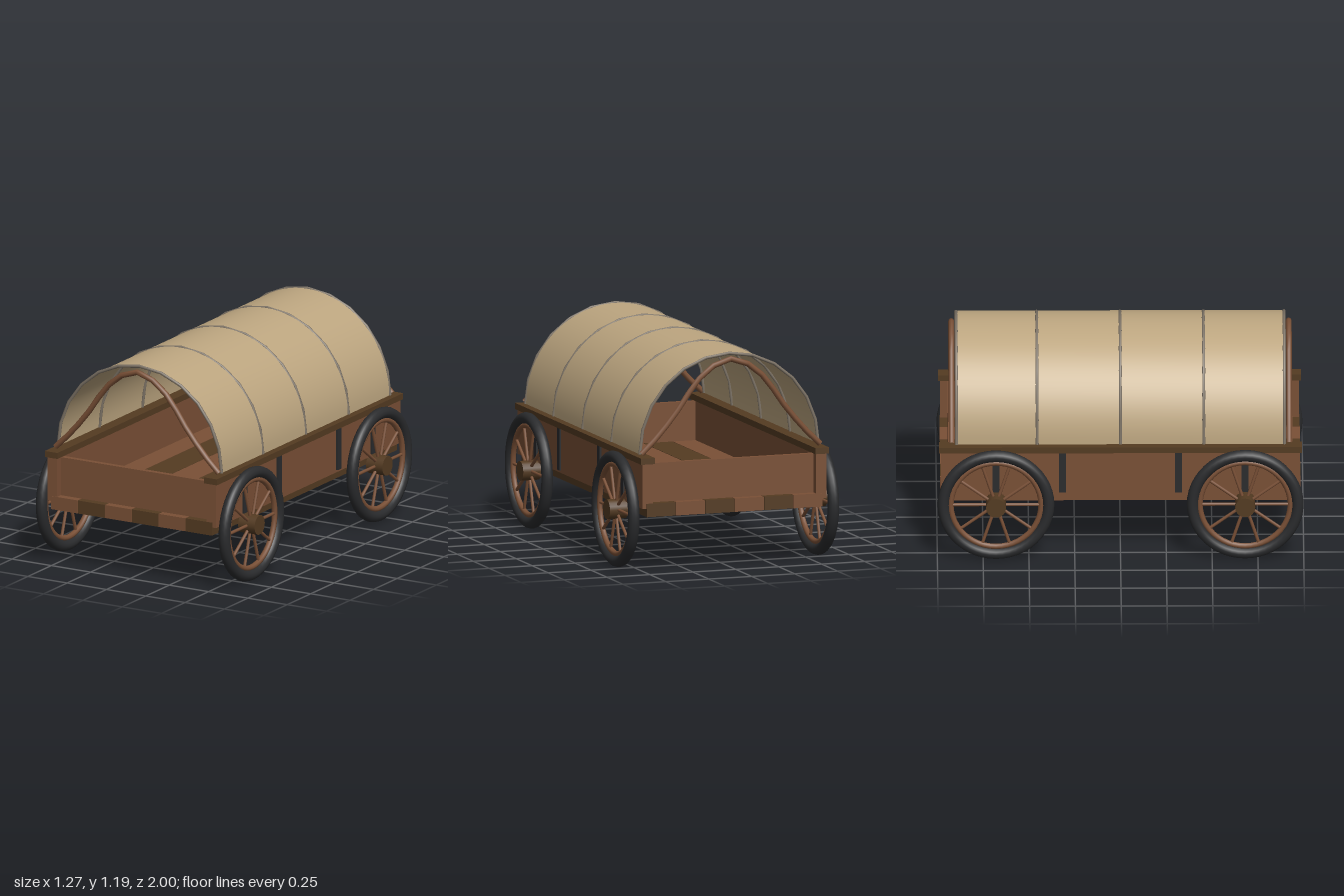
import * as THREE from 'three';

const mat = (name, color) => {
  const m = new THREE.MeshStandardMaterial({ color });
  m.name = name;
  return m;
};

export function createModel() {
  const wood = mat('wood', 0x7a5036);
  const darkWood = mat('darkWood', 0x543b22);
  const iron = mat('iron', 0x2a2b2d);
  const hoopGrey = mat('hoopGrey', 0x7d7366);
  const canvas = mat('canvas', 0xbda680);
  canvas.side = THREE.DoubleSide;

  const root = new THREE.Group();
  root.name = 'coveredWagon';

  const add = (parent, name, geo, material, x = 0, y = 0, z = 0) => {
    const mesh = new THREE.Mesh(geo, material);
    mesh.name = name;
    mesh.position.set(x, y, z);
    parent.add(mesh);
    return mesh;
  };
  const box = (name, material, w, h, d, x, y, z) =>
    add(root, name, new THREE.BoxGeometry(w, h, d), material, x, y, z);

  // Floor of six alternating planks with narrow gaps
  for (let i = 0; i < 6; i++) {
    box('floorPlank', i % 2 ? darkWood : wood, 0.168, 0.074, 1.966, (i - 2.5) * 0.171, 0.357, 0);
  }

  // Side walls, top rails and iron straps
  for (const s of [-1, 1]) {
    box('sideWall', wood, 0.06, 0.25, 1.96, s * 0.505, 0.491, 0);
    box('topRail', darkWood, 0.08, 0.034, 1.982, s * 0.507, 0.63, 0);
    for (const z of [-0.68, -0.316, 0.316, 0.68]) {
      box('sideStrap', iron, 0.014, 0.235, 0.038, s * 0.539, 0.498, z);
    }
  }

  // End walls
  for (const s of [-1, 1]) box('endWall', wood, 0.95, 0.216, 0.03, 0, 0.502, s * 0.925);

  // Wheels: tire, rim, hub and ten spokes, built in the xy plane then turned
  const R = 0.319;
  const tireGeo = new THREE.TorusGeometry(R - 0.032, 0.032, 12, 48);
  const rimGeo = new THREE.TorusGeometry(0.247, 0.016, 8, 48);
  const hubGeo = new THREE.CylinderGeometry(0.055, 0.055, 0.105, 16).rotateX(Math.PI / 2);
  const spokeGeo = new THREE.CylinderGeometry(0.009, 0.009, 0.21, 8).translate(0, 0.14, 0);
  for (const x of [-0.581, 0.581]) {
    for (const z of [-0.68, 0.68]) {
      const wheel = new THREE.Group();
      wheel.name = 'wheel';
      wheel.position.set(x, 0.324, z);
      wheel.rotation.y = Math.PI / 2;
      add(wheel, 'tire', tireGeo, iron);
      add(wheel, 'rim', rimGeo, wood);
      add(wheel, 'hub', hubGeo, darkWood);
      for (let i = 0; i < 10; i++) {
        add(wheel, 'spoke', spokeGeo, wood).rotation.z = (i + 0.5) * Math.PI / 5;
      }
      root.add(wheel);
    }
  }

  // Canvas cover: half an elliptical open cylinder
  const baseY = 0.655, halfW = 0.52, rise = 0.53;
  const cover = new THREE.CylinderGeometry(1, 1, 1.79, 40, 1, true, -Math.PI / 2, Math.PI)
    .rotateX(-Math.PI / 2)
    .scale(halfW, rise, 1);
  cover.computeVertexNormals();
  add(root, 'canvasCover', cover, canvas, 0, baseY, 0);

  // Hoops over the cover, in twelve straight pieces
  const arc = new THREE.CurvePath();
  const arcPoint = (i) => {
    const a = (i * Math.PI) / 12;
    return new THREE.Vector3(halfW * Math.cos(a), rise * Math.sin(a), 0);
  };
  for (let i = 0; i < 12; i++) arc.add(new THREE.LineCurve3(arcPoint(i), arcPoint(i + 1)));
  const hoopGeo = new THREE.TubeGeometry(arc, 12, 0.009, 8);
  for (const z of [-0.895, -0.455, 0, 0.455, 0.895]) {
    add(root, 'coverHoop', hoopGeo, hoopGrey, 0, baseY, z);
  }

  // Pointed wooden bows at both ends
  const half = [[0.519, 0.66], [0.427, 0.749], [0.308, 0.89], [0.203, 1.037], [0.112, 1.118]];
  const bowPoints = [
    ...half.map(([x, y]) => new THREE.Vector3(-x, y, 0)),
    new THREE.Vector3(0, 1.158, 0),
    ...half.slice().reverse().map(([x, y]) => new THREE.Vector3(x, y, 0)),
  ];
  const bowGeo = new THREE.TubeGeometry(new THREE.CatmullRomCurve3(bowPoints), 14, 0.016, 8);
  for (const z of [-0.921, 0.921]) add(root, 'endBow', bowGeo, wood, 0, 0, z);

  return root;
}
